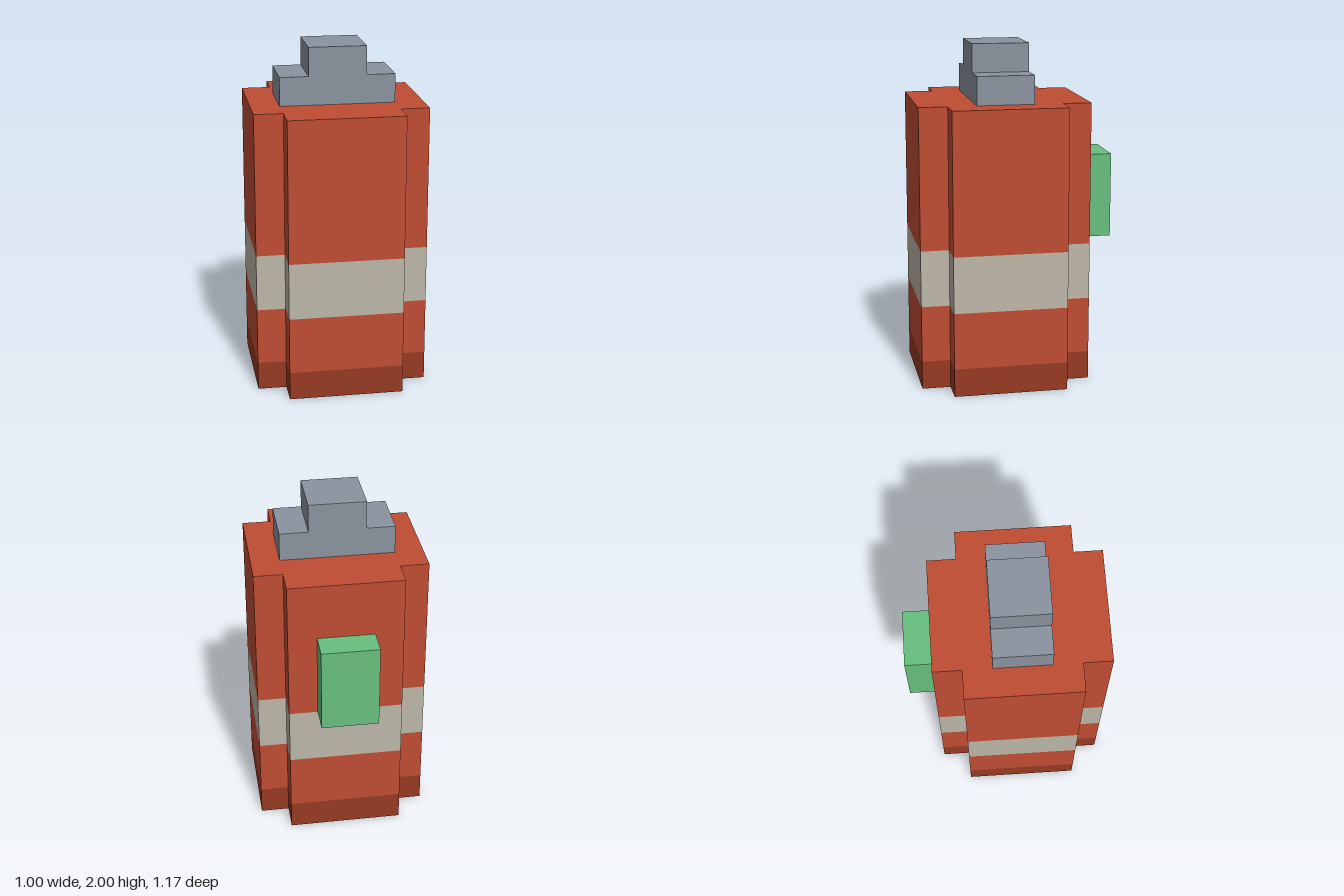
import * as THREE from 'three';

const U = 1 / 6; // block size

const material = (name, color) => {
  const m = new THREE.MeshStandardMaterial({ color });
  m.name = name;
  return m;
};

// Closed shape from points given in blocks
const shapeOf = (points) => new THREE.Shape(points.map(([x, y]) => new THREE.Vector2(x * U, y * U)));

// Square with notched corners, counter-clockwise seen from above
const OUTLINE = [
  [-2, -3], [2, -3], [2, -2], [3, -2], [3, 2], [2, 2],
  [2, 3], [-2, 3], [-2, 2], [-3, 2], [-3, -2], [-2, -2],
];

// Open wall following the outline between two heights (in blocks)
function wallGeometry(y0, y1) {
  const positions = [];
  OUTLINE.forEach(([ax, ay], i) => {
    const [bx, by] = OUTLINE[(i + 1) % OUTLINE.length];
    const a = [ax, y0, -ay], b = [bx, y0, -by], c = [bx, y1, -by], d = [ax, y1, -ay];
    positions.push(...a, ...b, ...c, ...a, ...c, ...d);
  });
  const g = new THREE.BufferGeometry();
  g.setAttribute('position', new THREE.Float32BufferAttribute(positions.map((v) => v * U), 3));
  g.computeVertexNormals();
  return g;
}

export function createModel() {
  const red = material('red shell', 0xc04d33);
  const darkRed = material('dark red base', 0x963a22);
  const cream = material('cream band', 0xbdb7a8);
  const grey = material('grey metal', 0x8a939f);
  const green = material('green clip', 0x68bf7e);

  const model = new THREE.Group();
  model.name = 'canister';
  const add = (name, geometry, mat, x = 0, y = 0, z = 0, parent = model) => {
    const mesh = new THREE.Mesh(geometry, mat);
    mesh.name = name;
    mesh.position.set(x * U, y * U, z * U);
    parent.add(mesh);
  };

  // Body: stacked coloured walls closed at both ends
  const body = new THREE.Group();
  body.name = 'body';
  body.position.z = U / 2;
  model.add(body);
  [
    ['baseBand', 0, 1, darkRed],
    ['lowerShell', 1, 3, red],
    ['labelBand', 3, 5, cream],
    ['upperShell', 5, 10, red],
  ].forEach(([name, y0, y1, mat]) => add(name, wallGeometry(y0, y1), mat, 0, 0, 0, body));
  add('bodyTop', new THREE.ShapeGeometry(shapeOf(OUTLINE)).rotateX(-Math.PI / 2), red, 0, 10, 0, body);
  add('bodyBottom', new THREE.ShapeGeometry(shapeOf(OUTLINE)).rotateX(Math.PI / 2), darkRed, 0, 0, 0, body);

  // Stepped cap
  const step = shapeOf([[-2, 0], [2, 0], [2, 1], [1, 1], [1, 2], [-1, 2], [-1, 1], [-2, 1]]);
  add('cap', new THREE.ExtrudeGeometry(step, { depth: 2 * U, bevelEnabled: false }), grey, 0, 10, -0.5);

  // Clip on the back
  add('backClip', new THREE.BoxGeometry(2 * U, 3 * U, U), green, 0, 6.5, -3);

  return model;
}
